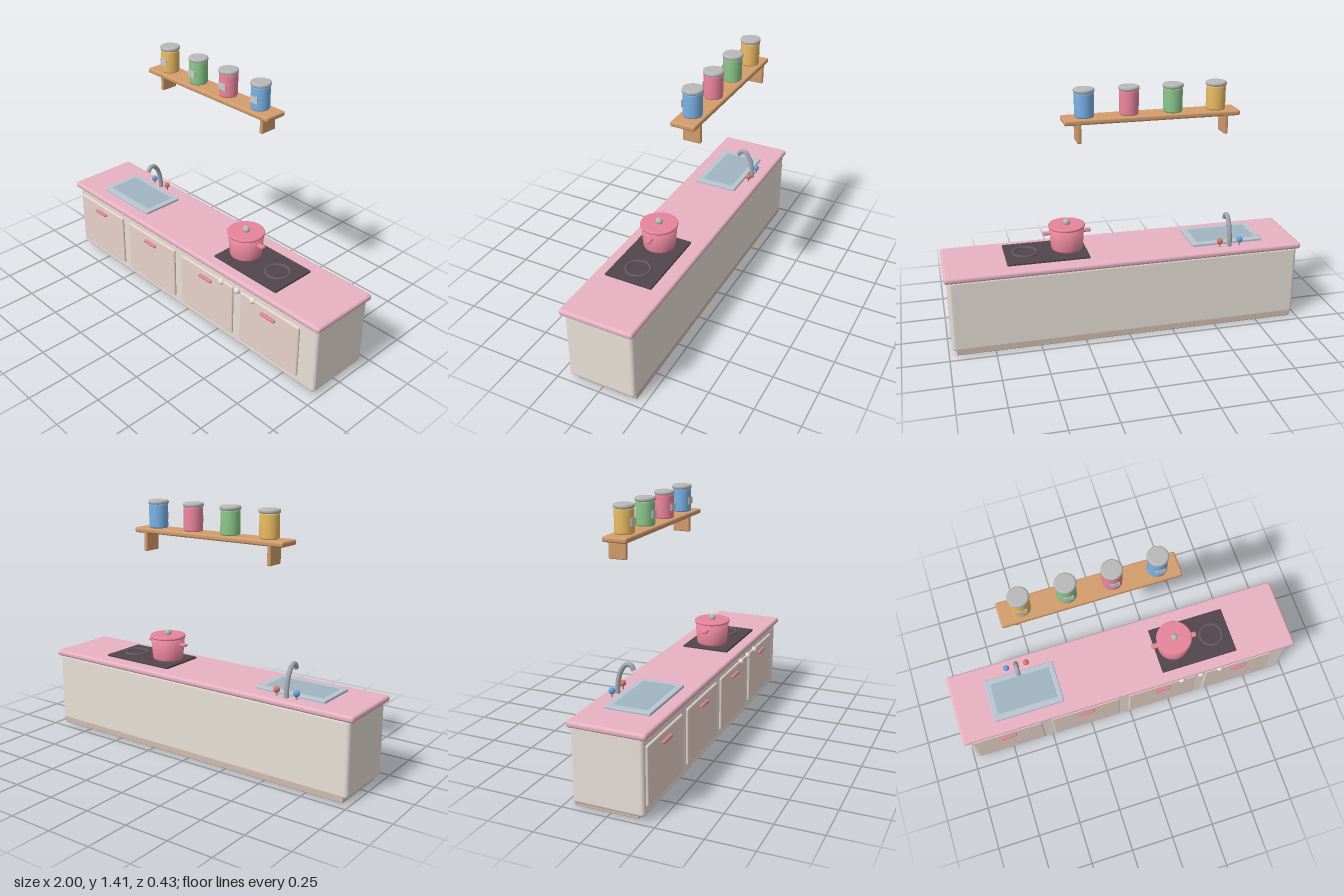
import * as THREE from 'three';
import { RoundedBoxGeometry } from 'three/addons/geometries/RoundedBoxGeometry.js';

const paint = (color) => new THREE.MeshStandardMaterial({ color });
const M = {
  body: paint(0xe8e0d8), door: paint(0xe8d2ca), plinth: paint(0xd2bcae), top: paint(0xe8b2c2),
  handle: paint(0xdd8296), steel: paint(0xb8c6d2), basin: paint(0xa2b4c2), metal: paint(0xa4a8ae),
  hob: paint(0x50464c), ring: paint(0x64585e), pot: paint(0xe6849a), wood: paint(0xd29c6c),
  lid: paint(0xb8b8b8), label: paint(0xcccccc), hot: paint(0xe07060), cold: paint(0x5fa0dc),
};

function add(parent, name, geometry, material, x = 0, y = 0, z = 0) {
  const mesh = new THREE.Mesh(geometry, material);
  mesh.name = name;
  mesh.position.set(x, y, z);
  parent.add(mesh);
  return mesh;
}

// Rounded box given by its extents on each axis
function slab(parent, name, material, [x0, x1], [y0, y1], [z0, z1], radius) {
  const geometry = new RoundedBoxGeometry(x1 - x0, y1 - y0, z1 - z0, 3, radius);
  return add(parent, name, geometry, material, (x0 + x1) / 2, (y0 + y1) / 2, (z0 + z1) / 2);
}

function group(parent, name, x = 0, y = 0, z = 0) {
  const g = new THREE.Group();
  g.name = name;
  g.position.set(x, y, z);
  parent.add(g);
  return g;
}

const lathe = (points, segments = 40) =>
  new THREE.LatheGeometry(points.map(([r, y]) => new THREE.Vector2(r, y)), segments);

// Solid disc with softened edges, standing on y = 0
const softDisc = (r, h, b) => lathe([
  [0, 0], [r - b, 0], [r - b * 0.3, b * 0.3], [r, b],
  [r, h - b], [r - b * 0.3, h - b * 0.3], [r - b, h], [r - b, h], [0, h],
]);

function buildCabinet(parent) {
  const cabinet = group(parent, 'cabinet');
  slab(cabinet, 'plinth', M.plinth, [-0.96, 0.96], [0, 0.04], [-0.2, 0.15], 0.005);
  slab(cabinet, 'cabinetBody', M.body, [-0.98, 0.98], [0.02, 0.435], [-0.2, 0.188], 0.02);
  slab(cabinet, 'worktop', M.top, [-1, 1], [0.425, 0.46], [-0.21, 0.21], 0.015);

  // Doors with bar handles
  for (let i = 0; i < 4; i++) {
    const x = -0.75 + i * 0.471;
    slab(cabinet, 'door', M.door, [x - 0.206, x + 0.206], [0.072, 0.385], [0.175, 0.2], 0.008);
    slab(cabinet, 'doorHandle', M.handle, [x - 0.05, x + 0.05], [0.329, 0.348], [0.196, 0.216], 0.009);
  }
  // Cooker knobs
  for (const x of [0.31, 0.428, 0.545]) {
    add(cabinet, 'cookerKnob', new THREE.SphereGeometry(0.019, 24, 16), M.body, x, 0.377, 0.194);
  }
}

function buildSink(parent) {
  const sink = group(parent, 'sink');
  slab(sink, 'sinkRim', M.steel, [-0.797, -0.385], [0.445, 0.474], [-0.115, 0.136], 0.006);
  slab(sink, 'sinkBasin', M.basin, [-0.765, -0.417], [0.45, 0.4755], [-0.083, 0.103], 0.003);

  // Curved tap spout
  const path = new THREE.CatmullRomCurve3([
    [-0.145, 0.45], [-0.142, 0.51], [-0.122, 0.585], [-0.09, 0.622], [-0.065, 0.62], [-0.05, 0.595],
  ].map(([z, y]) => new THREE.Vector3(-0.59, y, z)));
  add(sink, 'tapSpout', new THREE.TubeGeometry(path, 40, 0.013, 16), M.metal);
  const tip = add(sink, 'tapTip', new THREE.CircleGeometry(0.013, 16), M.metal);
  tip.position.copy(path.getPoint(1));
  tip.lookAt(path.getPoint(1).add(path.getTangent(1)));

  // Hot and cold taps
  for (const [name, x, material] of [['coldTap', -0.65, M.cold], ['hotTap', -0.532, M.hot]]) {
    add(sink, name, new THREE.SphereGeometry(0.017, 24, 16), material, x, 0.493, -0.145);
    add(sink, name + 'Stem', new THREE.CylinderGeometry(0.005, 0.005, 0.03, 12), M.metal, x, 0.471, -0.145);
  }
}

function buildHob(parent) {
  const hob = group(parent, 'hob');
  slab(hob, 'hobPlate', M.hob, [0.205, 0.658], [0.452, 0.471], [-0.126, 0.147], 0.003);
  for (const x of [0.31, 0.547]) {
    const ring = add(hob, 'burnerRing', new THREE.TorusGeometry(0.065, 0.008, 10, 40), M.ring, x, 0.473, 0.012);
    ring.rotation.x = Math.PI / 2;
  }

  // Cooking pot with lid and side handles
  const pot = group(hob, 'pot', 0.31, 0.472, 0.013);
  add(pot, 'potBody', lathe([
    [0, 0], [0.076, 0], [0.084, 0.004], [0.088, 0.014], [0.098, 0.134], [0, 0.134],
  ]), M.pot);
  add(pot, 'potLid', softDisc(0.102, 0.016, 0.006), M.pot, 0, 0.131);
  add(pot, 'lidKnob', new THREE.SphereGeometry(0.02, 24, 16), M.lid, 0, 0.156);
  for (const side of [-1, 1]) {
    const bar = new RoundedBoxGeometry(0.05, 0.016, 0.03, 3, 0.007);
    add(pot, side > 0 ? 'potHandleLeft' : 'potHandleRight', bar, M.pot, side * 0.11, 0.1, 0);
  }
}

function buildShelf(parent) {
  const shelf = group(parent, 'wallShelf');
  slab(shelf, 'shelfBoard', M.wood, [-0.59, 0.348], [1.234, 1.262], [-0.213, -0.077], 0.01);
  for (const x of [-0.513, 0.272]) {
    slab(shelf, 'shelfBracket', M.wood, [x - 0.011, x + 0.011], [1.138, 1.245], [-0.213, -0.114], 0.006);
  }
  // Storage jars
  [0xecbc62, 0x8cc88c, 0xee869e, 0x7ab2e6].forEach((color, i) => {
    const jar = group(shelf, 'jar', -0.473 + i * 0.2355, 1.26, -0.146);
    add(jar, 'jarBody', softDisc(0.051, 0.132, 0.01), paint(color));
    add(jar, 'jarLid', softDisc(0.055, 0.023, 0.008), M.lid, 0, 0.128);
    add(jar, 'jarLabel', new THREE.BoxGeometry(0.052, 0.038, 0.005), M.label, 0, 0.063, 0.05);
  });
}

export function createModel() {
  const model = new THREE.Group();
  model.name = 'kitchenUnit';
  buildCabinet(model);
  buildSink(model);
  buildHob(model);
  buildShelf(model);
  return model;
}
